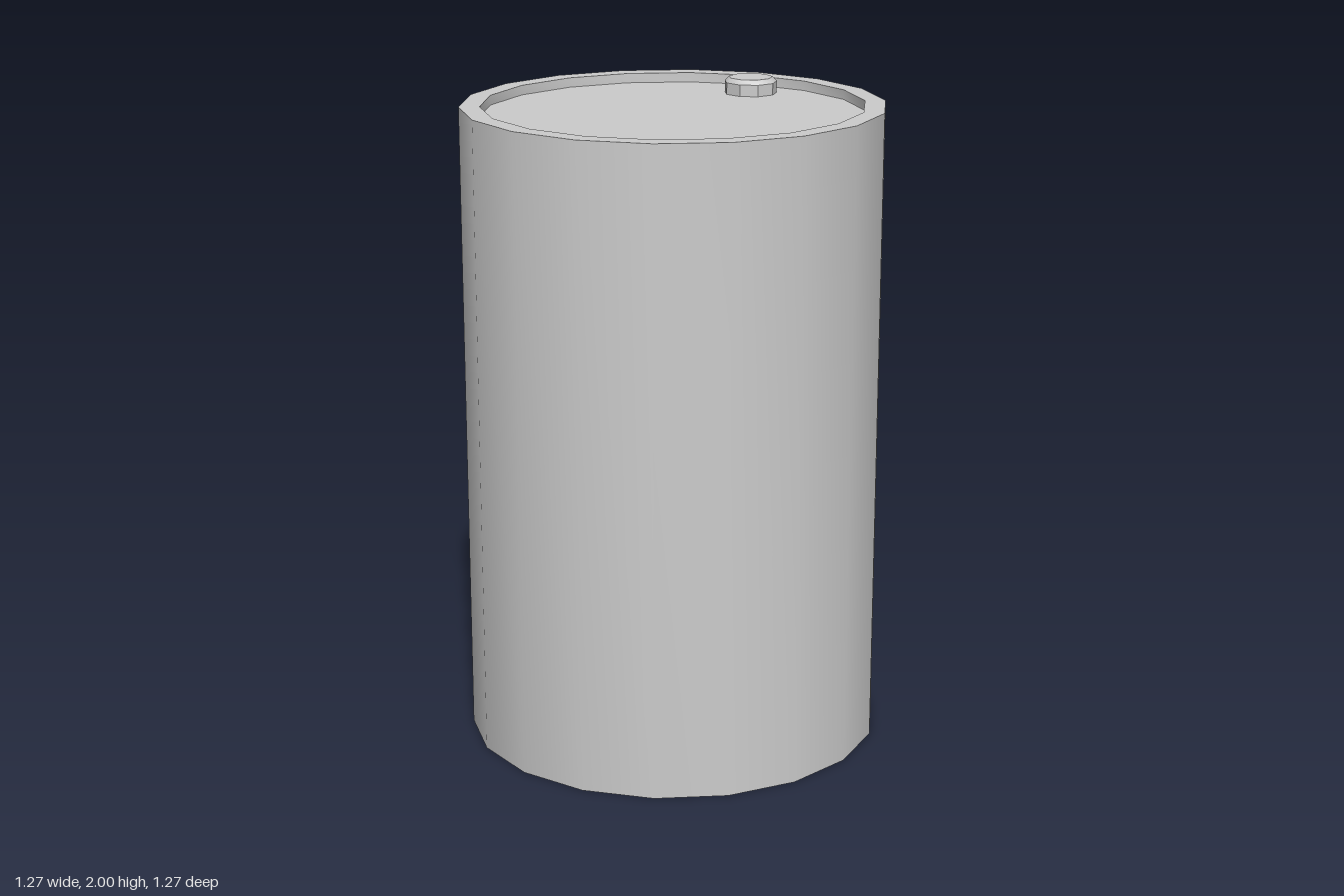
import * as THREE from 'three';
import { toCreasedNormals } from 'three/addons/utils/BufferGeometryUtils.js';

const material = new THREE.MeshStandardMaterial({ color: 0xcccccc });

// Revolves a bottom-to-top [radius, height] profile; only edges under 30 degrees are smoothed.
function turned(name, profile, sides, zScale = 1) {
  const points = profile.map(([r, y]) => new THREE.Vector2(r, y));
  const geometry = new THREE.LatheGeometry(points, sides).scale(1, 1, zScale);
  const mesh = new THREE.Mesh(toCreasedNormals(geometry, Math.PI / 6), material);
  mesh.name = name;
  return mesh;
}

export function createModel() {
  const group = new THREE.Group();
  group.name = 'drum';

  const radius = 0.643, rimRadius = 0.58, rimTop = 1.98, lidHeight = 1.95;

  // Closed drum with a raised rim around a sunken lid
  group.add(turned('drumBody', [
    [0, 0], [radius, 0], [radius, rimTop],
    [rimRadius, rimTop], [rimRadius, lidHeight], [0, lidHeight],
  ], 18, 0.984));

  // Bevelled filler cap near the back of the lid
  const cap = turned('fillerCap', [
    [0, 0], [0.083, 0], [0.083, 0.036], [0.069, 0.05], [0, 0.05],
  ], 9);
  cap.position.set(0.329, lidHeight, -0.295);
  group.add(cap);

  return group;
}
